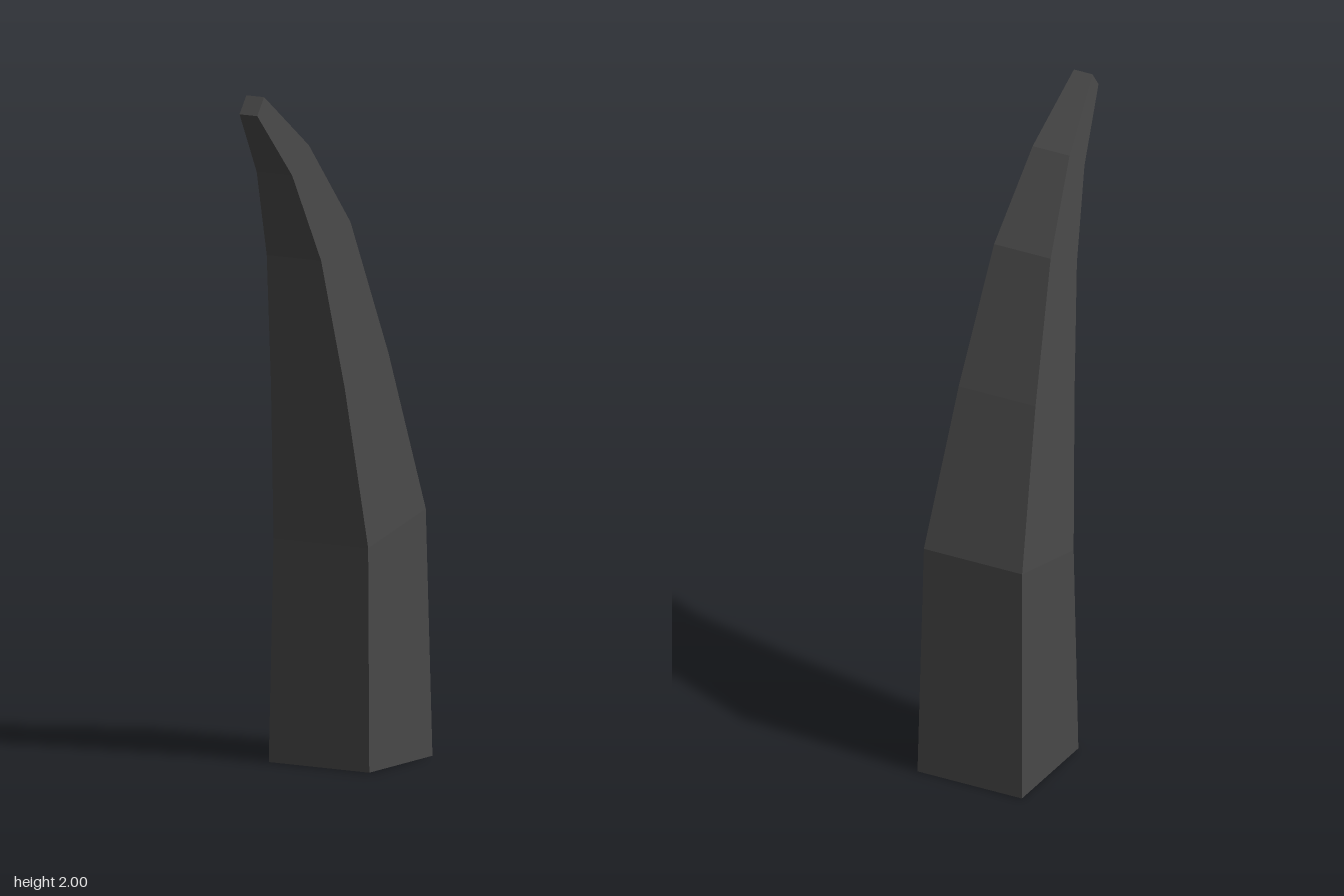
import * as THREE from 'three';

// Cross-sections from base to tip: half width, front edge (y, z), back edge (y, z)
const SECTIONS = [
  [0.17, 0, -0.02, 0, -0.36],
  [0.16, 0.65, -0.03, 0.72, -0.34],
  [0.125, 1.12, 0.04, 1.19, -0.195],
  [0.092, 1.5, 0.115, 1.59, -0.043],
  [0.06, 1.76, 0.22, 1.835, 0.13],
  [0.03, 1.95, 0.36, 2.0, 0.323],
];

// Joins the four-cornered sections into a closed, faceted solid
function loftGeometry(sections) {
  const rings = sections.map(([w, fy, fz, by, bz]) => [
    [w, fy, fz], [w, by, bz], [-w, by, bz], [-w, fy, fz],
  ]);
  const positions = [];
  const quad = (a, b, c, d) => positions.push(...a, ...b, ...c, ...a, ...c, ...d);

  for (let s = 0; s < rings.length - 1; s++) {
    for (let i = 0; i < 4; i++) {
      const j = (i + 1) % 4;
      quad(rings[s][i], rings[s][j], rings[s + 1][j], rings[s + 1][i]);
    }
  }
  // Tip and base caps
  quad(...rings[rings.length - 1]);
  quad(...[...rings[0]].reverse());

  const geometry = new THREE.BufferGeometry();
  geometry.setAttribute('position', new THREE.Float32BufferAttribute(positions, 3));
  geometry.computeVertexNormals();
  return geometry;
}

export function createModel() {
  const model = new THREE.Group();
  model.name = 'curvedHorn';

  const charcoal = new THREE.MeshStandardMaterial({ color: 0x484848 });
  charcoal.name = 'charcoal';
  charcoal.flatShading = true;

  const horn = new THREE.Mesh(loftGeometry(SECTIONS), charcoal);
  horn.name = 'horn';
  model.add(horn);
  return model;
}
